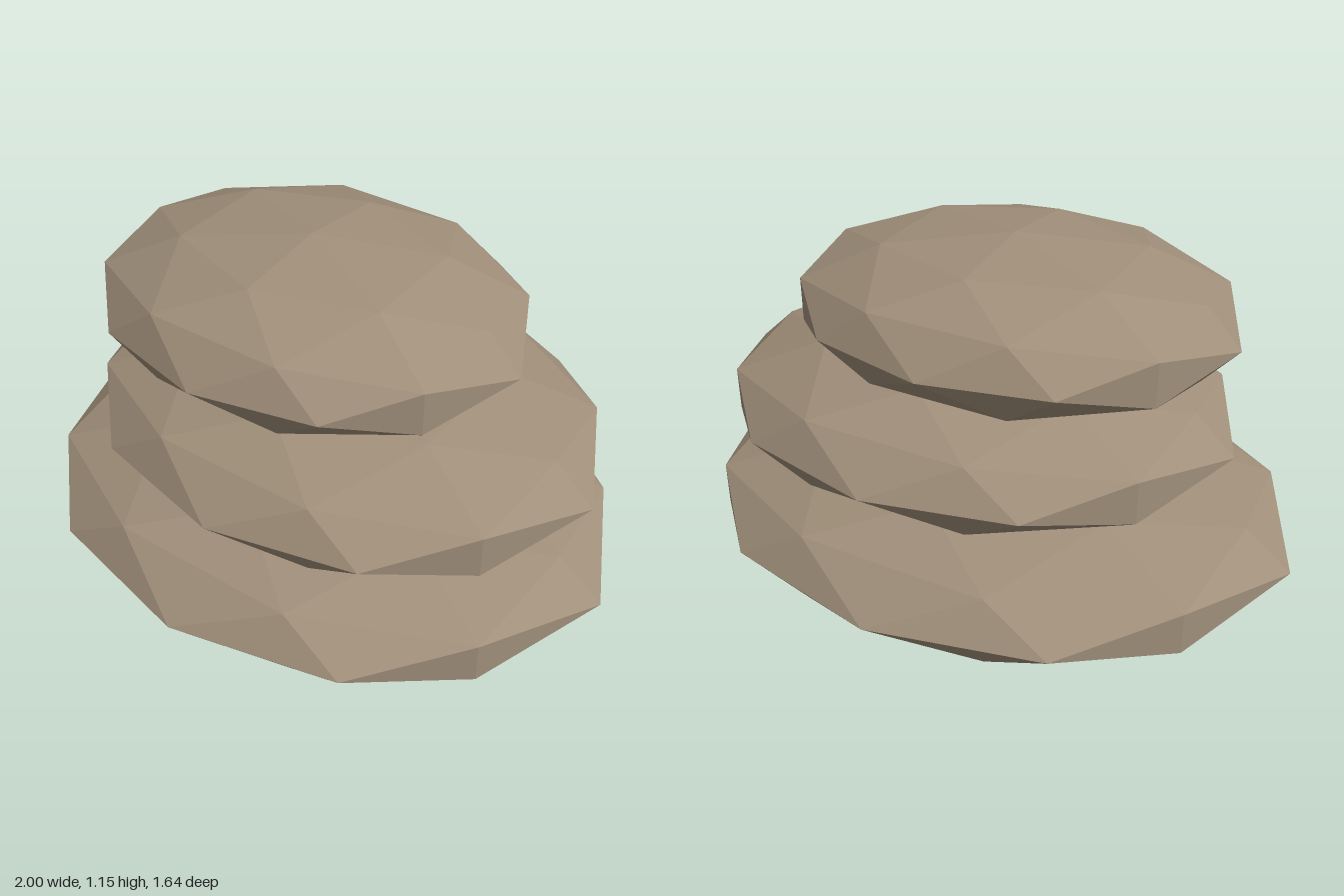
import * as THREE from 'three';

export function createModel() {
  const group = new THREE.Group();
  group.name = 'stackedStones';

  const stone = new THREE.MeshStandardMaterial({ color: 0xa08f7a, flatShading: true });
  stone.name = 'warm stone';

  // One faceted pebble, squashed differently for each stone
  const pebble = new THREE.IcosahedronGeometry(1, 1);
  pebble.rotateY(Math.PI / 2);

  // name, centre x, centre y, half width (x), half depth (z)
  const stones = [
    ['bottomStone', 0, 0.226, 1, 0.818],
    ['middleStone', 0.067, 0.575, 0.857, 0.702],
    ['topStone', -0.06, 0.923, 0.715, 0.586],
  ];
  for (const [name, x, y, halfWidth, halfDepth] of stones) {
    const mesh = new THREE.Mesh(pebble, stone);
    mesh.name = name;
    mesh.position.set(x, y, 0);
    mesh.scale.set(halfWidth, 0.225, halfDepth);
    group.add(mesh);
  }
  return group;
}
